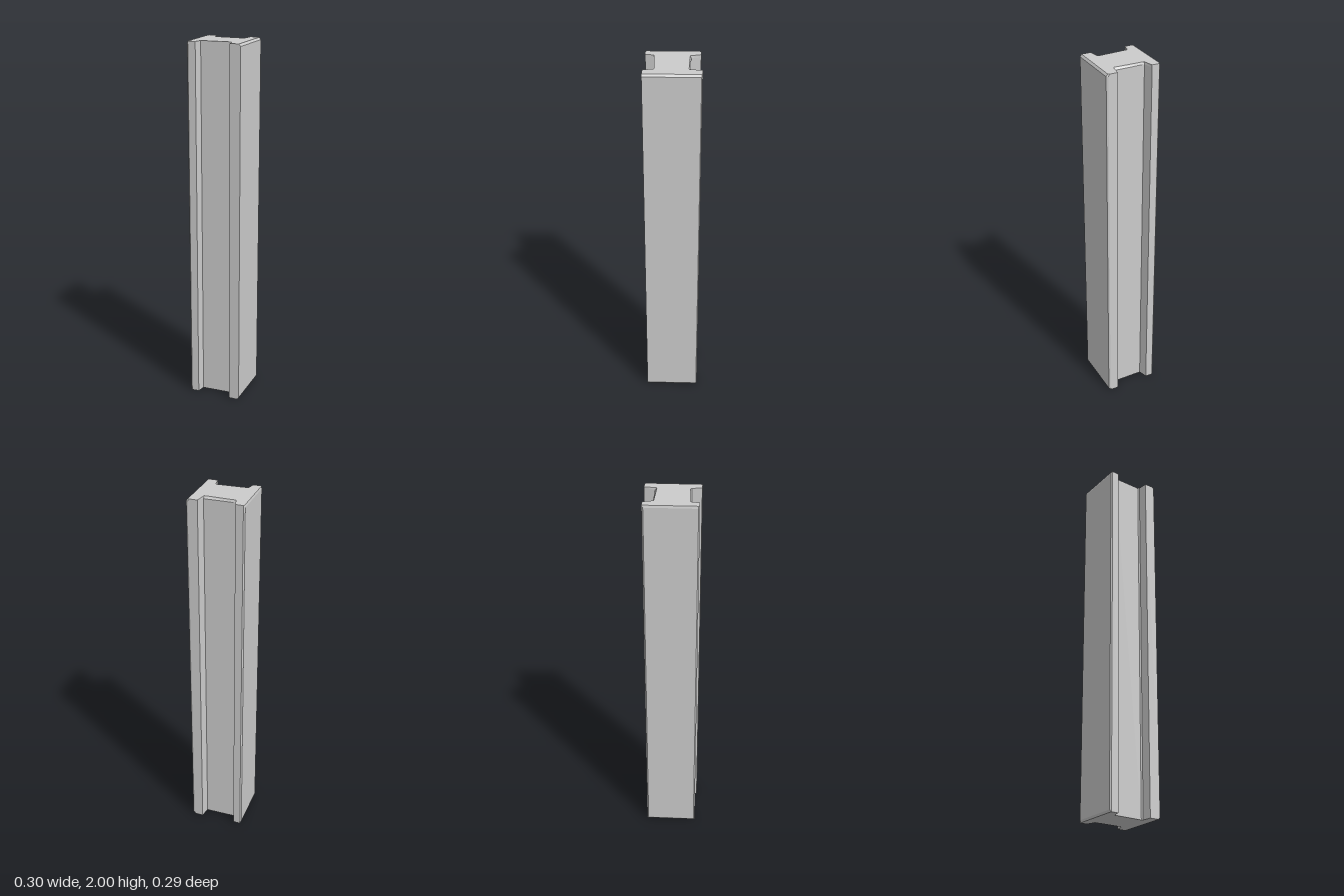
import * as THREE from 'three';

const HEIGHT = 2;
const BEVEL = 0.012;

// Slightly irregular I-section as [x, z], running along the front and back round the rear
const PROFILE = [
  [-0.15, 0.133], [-0.143, 0.14], [-0.102, 0.139], [-0.092, 0.093],
  [0.074, 0.087], [0.081, 0.094], [0.088, 0.145], [0.148, 0.146],
  [0.15, -0.143], [0.141, -0.148], [0.09, -0.148], [0.079, -0.092],
  [-0.087, -0.092], [-0.102, -0.142], [-0.143, -0.143], [-0.15, -0.135],
];

export function createModel() {
  const group = new THREE.Group();
  group.name = 'beam';

  const shape = new THREE.Shape(PROFILE.map(([x, z]) => new THREE.Vector2(x, -z)));
  const geometry = new THREE.ExtrudeGeometry(shape, { depth: 3, steps: 3, bevelEnabled: false });
  geometry.rotateX(-Math.PI / 2);

  // Three bands: thin worn edge, long shaft, thin worn edge
  const levels = [0, BEVEL, HEIGHT - BEVEL, HEIGHT];
  const p = geometry.attributes.position;
  for (let i = 0; i < p.count; i++) {
    const ring = Math.round(p.getY(i));
    let x = p.getX(i);
    let z = p.getZ(i);
    if (ring === 0 || ring === 3) {
      // Pull the outer flange faces in at both ends
      if (x > 0.14) x -= 0.009;
      if (x < -0.145) x += ring === 0 ? 0.006 : 0.003;
      // Chip the rear edge of the web at the top
      if (ring === 3 && z < 0 && z > -0.1) z += x > 0 ? 0.01 : 0.005;
    }
    p.setXYZ(i, x, levels[ring], z);
  }
  geometry.computeVertexNormals();

  const material = new THREE.MeshStandardMaterial({ color: 0xcccccc, flatShading: true });
  const beam = new THREE.Mesh(geometry, material);
  beam.name = 'flangedBeam';
  group.add(beam);
  return group;
}
